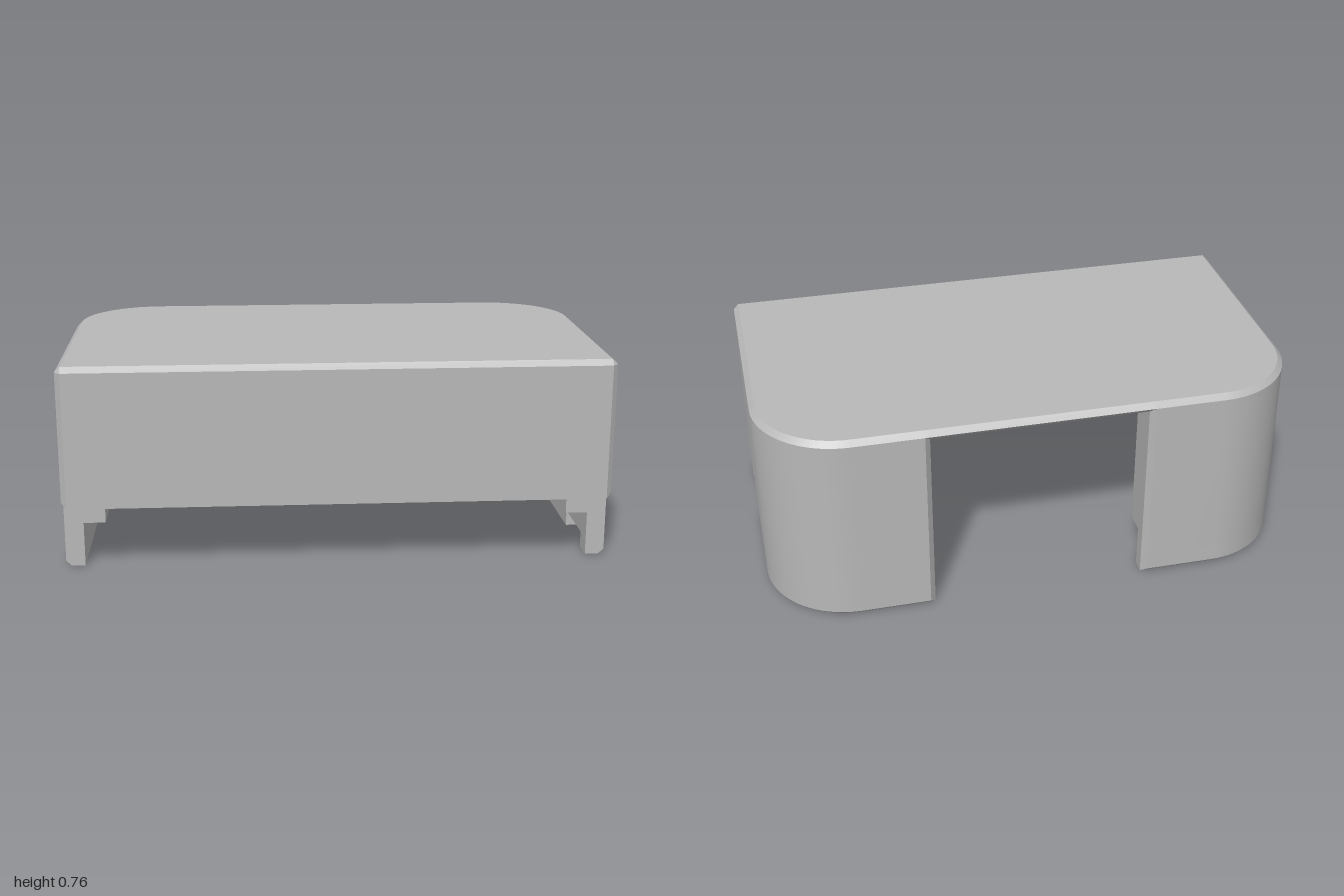
import * as THREE from 'three';
import { toCreasedNormals } from 'three/addons/utils/BufferGeometryUtils.js';

const BACK = -0.56, FRONT = 0.56, LEG = 0.48; // z limits; the legs stop at LEG
const R = 0.32, C = 0.02;                     // corner radius, edge chamfer
const OPEN = 0.4, CEIL = 0.725, TOP = 0.765;  // half opening, ceiling, top
const ARC = 20;

// Joins equal-length rings of points; caps follow the triangulated 2D contour.
function loft(rings, contour, mirror = false) {
  const pos = [];
  const tri = (a, b, c) => {
    const area = b.clone().sub(a).cross(c.clone().sub(a)).length();
    if (area < 1e-9) return;
    for (const p of mirror ? [a, c, b] : [a, b, c]) pos.push(mirror ? -p.x : p.x, p.y, p.z);
  };
  const n = contour.length;
  for (let i = 0; i + 1 < rings.length; i++) {
    for (let j = 0; j < n; j++) {
      const k = (j + 1) % n, r = rings[i], s = rings[i + 1];
      tri(r[j], s[j], r[k]);
      tri(r[k], s[j], s[k]);
    }
  }
  const first = rings[0], last = rings[rings.length - 1];
  const flat = contour.map(([x, y]) => new THREE.Vector2(x, y));
  for (const [a, b, c] of THREE.ShapeUtils.triangulateShape(flat, [])) {
    tri(first[a], first[b], first[c]);
    tri(last[a], last[c], last[b]);
  }
  const g = new THREE.BufferGeometry();
  g.setAttribute('position', new THREE.Float32BufferAttribute(pos, 3));
  return toCreasedNormals(g, 0.4);
}

// Stations along the wall; d is the depth in from the outer surface.
// A minimum depth at a station makes a chamfered end.
const side = (z, min = 0) => ({ min, at: d => [1 - d, z] });
const back = (x, min = 0) => ({ min, at: d => [x, BACK + d] });
const corner = Array.from({ length: ARC + 1 }, (_, i) => {
  const a = (i / ARC) * Math.PI / 2;
  return {
    min: 0,
    at: d => [1 - R + (R - d) * Math.cos(a), BACK + R - (R - d) * Math.sin(a)],
  };
});
const jamb = [back(OPEN + C), back(OPEN, C)];

// Sweeps a profile of [depth, height] points along the stations.
function sweep(profile, stations, mirror) {
  const rings = stations.map(s => profile.map(([d, y]) => {
    const [x, z] = s.at(Math.max(d, s.min));
    return new THREE.Vector3(x, y, z);
  }));
  return loft(rings, profile.map(([d, y]) => [-d, y]), mirror);
}

// Stacks horizontal outlines, each given as [height, [[x, z], ...]].
function stack(layers, contour) {
  return loft(layers.map(([y, pts]) => pts.map(([x, z]) => new THREE.Vector3(x, y, z))), contour);
}

// Outline of the lid; open is [x, z] of the edge above the rear opening.
function lidOutline(inset, open) {
  const half = [open, [OPEN + C, BACK + inset]];
  for (let i = ARC; i >= 0; i--) half.push(corner[i].at(inset));
  half.push([1 - inset, FRONT - C], [1 - C, FRONT - inset]);
  return [...half, ...half.map(([x, z]) => [-x, z]).reverse()];
}

export function createModel() {
  const group = new THREE.Group();
  const grey = new THREE.MeshStandardMaterial({ color: 0xb8b8b8 });
  grey.name = 'plain grey';
  const add = (name, geometry) => {
    const mesh = new THREE.Mesh(geometry, grey);
    mesh.name = name;
    group.add(mesh);
  };

  // Thick upper wall with an inner step, above a thin lower skirt
  const upper = [[0.07, 0.08], [0, 0.08], [0, CEIL], [0.15, CEIL], [0.15, 0.165], [0.07, 0.165]];
  const skirt = [[0.07, 0], [C, 0], [0, C], [0, 0.08], [0.07, 0.08]];
  for (const mirror of [false, true]) {
    add(mirror ? 'rightWall' : 'leftWall', sweep(upper, [side(LEG), ...corner, ...jamb], mirror));
  }
  add('rightSkirt', sweep(skirt, [side(LEG), ...corner, ...jamb], true));

  // Left skirt, broken by a chamfered notch
  add('leftSkirtFront', sweep(skirt, [side(LEG), side(0.42), side(0.4, C)]));
  add('leftSkirtBack', sweep(skirt, [side(0.16, C), side(0.14), ...corner, ...jamb]));
  add('notchTop', sweep([[0.07, 0.06], [C, 0.06], [0, 0.08], [0.07, 0.08]], [side(0.42), side(0.14)]));

  // Front panel with chamfered upright and lower side edges
  const panel = x => [[x, LEG], [x, FRONT - C], [1 - C, FRONT],
    [C - 1, FRONT], [-x, FRONT - C], [-x, LEG]];
  const panelLow = panel(1 - C);
  panelLow[1] = [1 - C, FRONT];
  panelLow[4] = [C - 1, FRONT];
  add('frontPanel', stack([[0.245, panelLow], [0.265, panel(1)], [CEIL, panel(1)]], panel(1)));

  // Lid, chamfered above all round and below at the rear opening
  const lidLow = lidOutline(0, [OPEN, BACK + C]);
  add('lid', stack([
    [CEIL, lidLow],
    [TOP - C, lidOutline(0, [OPEN + C, BACK])],
    [TOP, lidOutline(C, [OPEN, BACK + C])],
  ], lidLow));

  return group;
}
